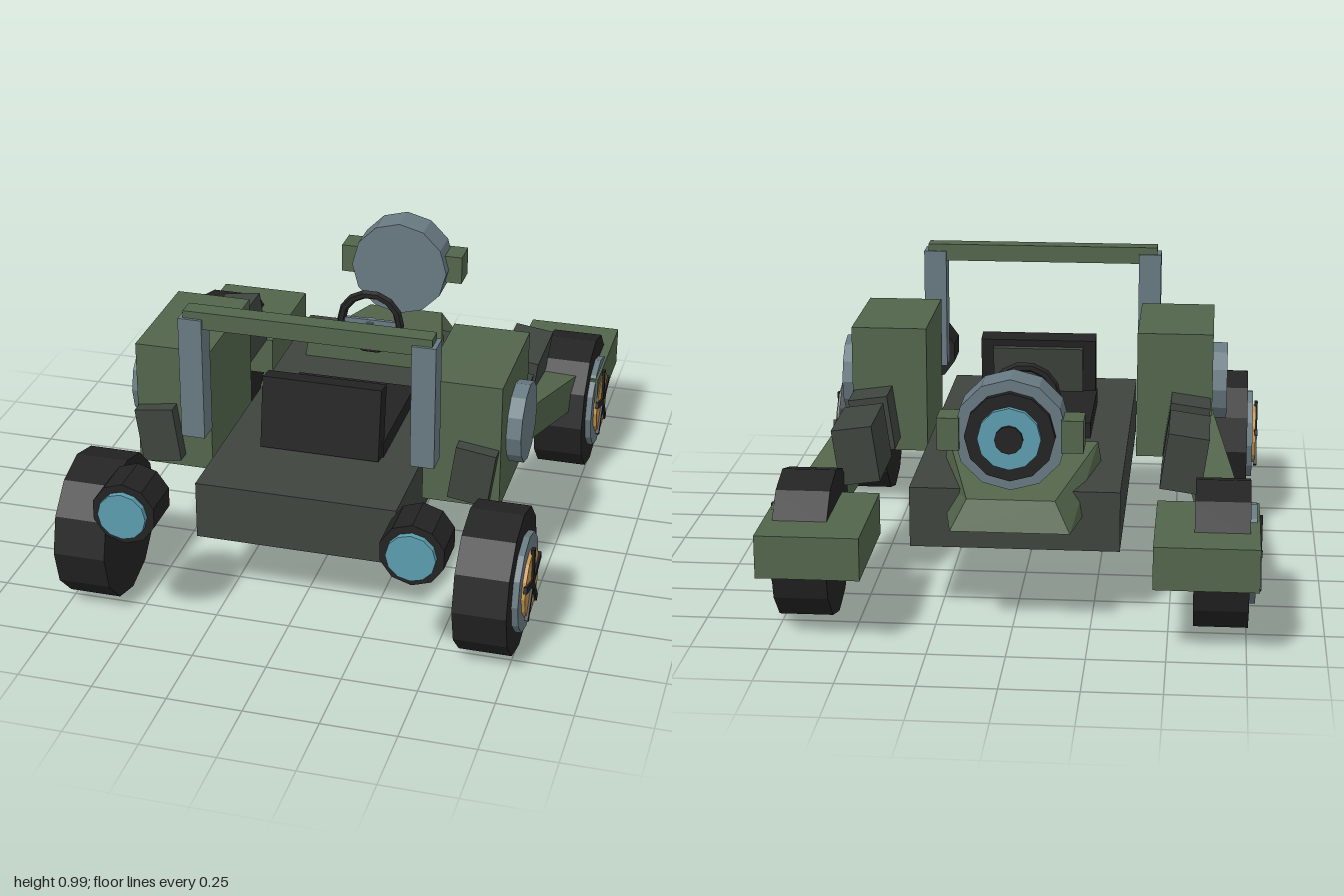
import * as THREE from 'three';

const mat = (name, color) => {
  const m = new THREE.MeshStandardMaterial({ color });
  m.name = name;
  return m;
};

export function createModel() {
  const green = mat('olive green', 0x53654b);
  const steel = mat('blue steel', 0x687a82);
  const black = mat('black rubber', 0x232323);
  const dark = mat('dark grey green', 0x3e443e);
  const teal = mat('teal glass', 0x5c9db0);
  const gold = mat('gold hub', 0xc2924c);

  const model = new THREE.Group();
  model.name = 'buggy';

  // Faceted mesh from any geometry
  function part(name, geo, material, pos = [0, 0, 0], parent = model) {
    const g = geo.index ? geo.toNonIndexed() : geo;
    g.computeVertexNormals();
    const m = new THREE.Mesh(g, material);
    m.name = name;
    m.position.set(...pos);
    parent.add(m);
    return m;
  }
  // Box given by its minimum and maximum corners
  function box(name, material, a, b, parent) {
    const size = b.map((v, i) => v - a[i]);
    const mid = b.map((v, i) => (v + a[i]) / 2);
    return part(name, new THREE.BoxGeometry(...size), material, mid, parent);
  }
  // Disc whose axis runs along z, or along x, between two depths
  function disc(name, material, axis, r, from, to, u, v, parent, sides = 12) {
    const g = new THREE.CylinderGeometry(r, r, Math.abs(to - from), sides);
    const mid = (from + to) / 2;
    if (axis === 'x') g.rotateZ(Math.PI / 2);
    else g.rotateX(Math.PI / 2);
    return part(name, g, material, axis === 'x' ? [mid, u, v] : [u, v, mid], parent);
  }
  // Box stretched between two points
  function beam(name, material, w, h, a, b) {
    const p = new THREE.Vector3(...a), q = new THREE.Vector3(...b);
    const m = part(name, new THREE.BoxGeometry(w, h, p.distanceTo(q)), material,
      p.clone().add(q).multiplyScalar(0.5).toArray());
    m.lookAt(q);
    return m;
  }

  // Chassis
  box('chassis', dark, [-0.34, 0.245, -0.68], [0.34, 0.445, 0.665]);

  // Tapered hood: a unit box reshaped by position
  const hood = new THREE.BoxGeometry(1, 1, 1);
  const hp = hood.attributes.position;
  for (let i = 0; i < hp.count; i++) {
    const top = hp.getY(i) > 0, cabin = hp.getZ(i) > 0;
    const w = cabin ? (top ? 0.25 : 0.275) : (top ? 0.14 : 0.19);
    hp.setXYZ(i, Math.sign(hp.getX(i)) * w,
      top ? (cabin ? 0.51 : 0.455) : 0.36,
      cabin ? -0.345 : (top ? -0.81 : -0.85));
  }
  part('hood', hood, green);

  // Seat
  box('seatCushion', black, [-0.21, 0.445, -0.1], [0.21, 0.5, 0.33]);
  const back = part('seatBack', new THREE.BoxGeometry(0.41, 0.25, 0.07), black, [0, 0.572, 0.328]);
  back.rotation.x = -0.15;
  const pad = part('seatPad', new THREE.BoxGeometry(0.32, 0.18, 0.02), dark, [0, 0.575, 0.283]);
  pad.rotation.x = -0.15;

  // Steering wheel and column
  part('steeringWheel', new THREE.TorusGeometry(0.107, 0.016, 6, 14), black, [0, 0.64, -0.285]);
  box('steeringSpoke', steel, [-0.1, 0.63, -0.292], [0.1, 0.65, -0.278]);
  beam('steeringColumn', steel, 0.025, 0.025, [0, 0.645, -0.285], [0, 0.48, -0.38]);

  // Rear drum with layered cap and side lugs
  disc('drum', steel, 'z', 0.18, -0.69, -0.815, 0, 0.67);
  disc('drumCap', black, 'z', 0.143, -0.815, -0.84, 0, 0.67);
  disc('drumRing', teal, 'z', 0.1, -0.84, -0.86, 0, 0.67);
  disc('drumCentre', black, 'z', 0.045, -0.86, -0.872, 0, 0.67);

  // Roll bar
  box('rollBar', green, [-0.415, 0.935, 0.457], [0.415, 0.995, 0.52]);

  for (const s of [1, -1]) {
    const side = s > 0 ? 'left' : 'right';
    const sideBox = (name, m, a, b) => box(side + name, m,
      [s > 0 ? a[0] : -b[0], a[1], a[2]], [s > 0 ? b[0] : -a[0], b[1], b[2]]);

    sideBox('DrumLug', green, [0.16, 0.62, -0.83], [0.23, 0.725, -0.73]);
    sideBox('RollPost', steel, [0.35, 0.54, 0.45], [0.43, 0.97, 0.53]);
    sideBox('Pod', green, [0.365, 0.36, -0.02], [0.625, 0.8, 0.415]);
    disc(side + 'PodDisc', steel, 'x', 0.137, s * 0.615, s * 0.675, 0.58, 0.2);
    sideBox('RearPontoon', green, [0.455, 0.24, -1], [0.785, 0.38, -0.555]);

    // Arm from the pod to the rear pontoon
    beam(side + 'Arm', green, 0.12, 0.125,
      [s * 0.563, 0.462, 0.04], [s * 0.655, 0.352, -0.51]);

    // Three canted blocks
    for (const z of [-0.372, -0.017, 0.326]) {
      const b = part(side + 'Block', new THREE.BoxGeometry(0.135, 0.19, 0.275), dark,
        [s * 0.54, 0.49, z]);
      b.rotation.z = -s * 0.14;
    }

    // Headlamp
    disc(side + 'Headlamp', black, 'z', 0.107, 0.835, 0.98, s * 0.47, 0.485, model, 10);
    disc(side + 'HeadlampLens', teal, 'z', 0.08, 0.98, 1, s * 0.47, 0.485);

    // Wheels with rim, hub and five spokes
    for (const z of [0.655, -0.655]) {
      const wheel = new THREE.Group();
      wheel.name = side + (z > 0 ? 'FrontWheel' : 'RearWheel');
      wheel.position.set(0, 0.246, z);
      model.add(wheel);
      disc('tyre', black, 'x', 0.243, s * 0.58, s * 0.755, 0, 0, wheel);
      disc('rim', steel, 'x', 0.165, s * 0.75, s * 0.776, 0, 0, wheel);
      disc('hub', gold, 'x', 0.112, s * 0.77, s * 0.788, 0, 0, wheel);
      for (let i = 0; i < 5; i++) {
        const a = (i * Math.PI * 2) / 5;
        const spoke = part('spoke', new THREE.BoxGeometry(0.012, 0.125, 0.022), black,
          [s * 0.789, Math.cos(a) * 0.0625, Math.sin(a) * 0.0625], wheel);
        spoke.rotation.x = a;
      }
    }
  }
  return model;
}
